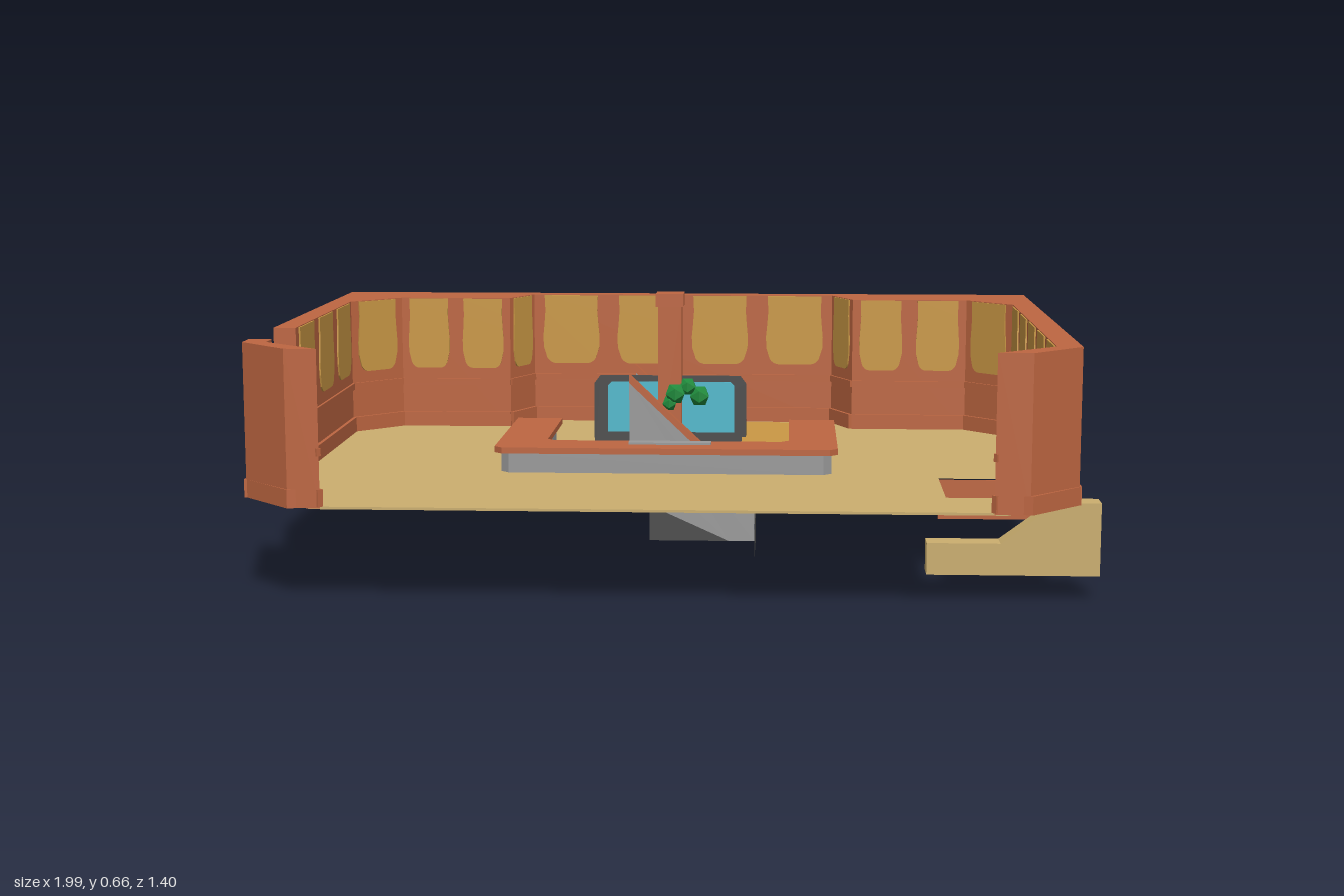
import * as THREE from 'three';

const mat = (name, color, side = THREE.FrontSide) => {
  const m = new THREE.MeshStandardMaterial({ color, side });
  m.name = name;
  return m;
};

export function createModel() {
  const root = new THREE.Group();
  root.name = 'saloonRoom';
  const clay = mat('clay brown', 0xbd6641);
  const sand = mat('sand floor', 0xcbae6f);
  const gold = mat('gold panel', 0xca9845);
  const grey = mat('light grey', 0x9a9a9a);
  const dark = mat('dark grey', 0x4c4c4c, THREE.DoubleSide);
  const blue = mat('screen blue', 0x52b9cd);
  const green = mat('leaf green', 0x1f8a3c);

  const add = (name, geo, m, parent = root) => {
    const mesh = new THREE.Mesh(geo, m);
    mesh.name = name;
    parent.add(mesh);
    return mesh;
  };
  // box given by its limits
  const box = (name, m, x0, x1, y0, y1, z0, z1, parent) => {
    const b = add(name, new THREE.BoxGeometry(x1 - x0, y1 - y0, z1 - z0), m, parent);
    b.position.set((x0 + x1) / 2, (y0 + y1) / 2, (z0 + z1) / 2);
    return b;
  };
  // outline in x,z raised from y0 to y1
  const toShape = (pts, s = 1) => new THREE.Shape(pts.map(([a, b]) => new THREE.Vector2(a, s * b)));
  const slab = (name, m, pts, y0, y1, holes = []) => {
    const shape = toShape(pts, -1);
    holes.forEach(h => shape.holes.push(toShape(h, -1)));
    const g = new THREE.ExtrudeGeometry(shape, { depth: y1 - y0, bevelEnabled: false });
    g.rotateX(-Math.PI / 2).translate(0, y0, 0);
    return add(name, g, m);
  };
  // outline in x,y running from z0 to z1
  const plate = (name, m, pts, z0, z1) => {
    const g = new THREE.ExtrudeGeometry(toShape(pts), { depth: z1 - z0, bevelEnabled: false });
    return add(name, g.translate(0, 0, z0), m);
  };

  const FLOOR = 0.235, TOP = 0.597;

  // floor with a stair opening
  slab('floor', sand, [[-0.95, -0.66], [0.91, -0.66], [0.91, 0.56], [0.77, 0.69], [-0.81, 0.69], [-0.95, 0.56]],
    0.229, FLOOR, [[[0.645, 0.26], [0.885, 0.26], [0.885, 0.51], [0.645, 0.51]]]);

  // room walls with a rear bay, plus the post beyond the doorway
  const inner = [[-0.93, 0.265], [-0.93, -0.405], [-0.81, -0.525], [-0.505, -0.525], [-0.45, -0.645],
    [0.4, -0.645], [0.455, -0.525], [0.77, -0.525], [0.885, -0.405], [0.885, 0.565], [0.74, 0.695]];
  const wall = [...inner, [0.82, 0.695], [0.945, 0.57], [0.945, -0.695], [-0.985, -0.695], [-0.985, 0.265]];
  const post = [[-0.93, 0.51], [-0.93, 0.565], [-0.785, 0.695], [-0.86, 0.695], [-0.985, 0.57], [-0.985, 0.51]];
  slab('walls', clay, wall, 0.232, TOP);
  slab('doorPost', clay, post, 0.232, TOP);

  // outer plinth and door sill
  box('backPlinth', clay, -0.99, 0.95, 0.232, 0.275, -0.7, -0.69);
  box('leftPlinth', clay, 0.94, 0.95, 0.232, 0.275, -0.7, 0.572);
  box('rightPlinth', clay, -0.99, -0.98, 0.232, 0.275, -0.7, 0.572);
  box('doorSill', clay, -0.985, -0.935, 0.232, 0.272, 0.265, 0.51);
  for (const s of [-1, 1]) {
    const p = [[0.965, 0.57], [0.84, 0.7], [0.82, 0.695], [0.955, 0.56]].map(([x, z]) => [s * x + (s > 0 ? -0.015 : -0.02), z]);
    slab('frontPlinth', clay, p, 0.232, 0.275);
  }

  // mouldings and arched panels along the inside of the walls
  const panelShape = w => {
    const h = 0.195, s = new THREE.Shape();
    s.moveTo(-w * 0.46, h);
    s.bezierCurveTo(-w * 0.4, h * 0.6, -w * 0.58, h * 0.35, -w * 0.42, h * 0.08);
    s.quadraticCurveTo(-w * 0.36, 0, -w * 0.25, 0);
    s.lineTo(w * 0.25, 0);
    s.quadraticCurveTo(w * 0.36, 0, w * 0.42, h * 0.08);
    s.bezierCurveTo(w * 0.58, h * 0.35, w * 0.4, h * 0.6, w * 0.46, h);
    return s;
  };
  const dressWall = ([x0, z0], [x1, z1]) => {
    const dx = x1 - x0, dz = z1 - z0, len = Math.hypot(dx, dz);
    const g = new THREE.Group();
    g.name = 'wallTrim';
    g.position.set((x0 + x1) / 2, 0, (z0 + z1) / 2);
    g.rotation.y = Math.atan2(-dz, dx);
    root.add(g);
    box('skirting', clay, -len / 2, len / 2, FLOOR, 0.275, -0.005, 0.009, g);
    box('chairRail', clay, -len / 2, len / 2, 0.352, 0.37, -0.005, 0.006, g);
    const n = Math.max(1, Math.round(len / 0.2)), step = len / n;
    for (let i = 0; i < n; i++) {
      const geo = new THREE.ExtrudeGeometry(panelShape(step * 0.78), { depth: 0.004, bevelEnabled: false, curveSegments: 5 });
      add('wallPanel', geo, gold, g).position.set(-len / 2 + step * (i + 0.5), 0.4, 0);
    }
  };
  for (let i = 0; i < inner.length - 1; i++) dressWall(inner[i], inner[i + 1]);
  dressWall(post[2], post[1]);

  // U-shaped counter: grey base, brown top, gold flap
  const counter = d => [[-0.45 + d, -0.25 + d], [-0.33 - d, -0.25 + d], [-0.33 - d, 0.1 + d], [-0.31 - d, 0.12 + d],
    [0.26 + d, 0.12 + d], [0.28 + d, 0.1 + d], [0.28 + d, -0.25 + d], [0.4 - d, -0.25 + d],
    [0.4 - d, 0.22 - d], [0.38 - d, 0.24 - d], [-0.43 + d, 0.24 - d], [-0.45 + d, 0.22 - d]];
  slab('counterBase', grey, counter(0.015), FLOOR, 0.285);
  slab('counterTop', clay, counter(0), 0.285, 0.3);
  box('counterFlap', gold, 0.16, 0.28, 0.283, 0.293, -0.25, 0.12);

  // central stairs running down through the floor toward the left
  const stairs = new THREE.Group();
  stairs.name = 'stairs';
  root.add(stairs);
  const sheet = (name, w, x, y, flat) => {
    const g = new THREE.PlaneGeometry(w, 0.195);
    g.rotateX(-Math.PI / 2);
    if (!flat) g.rotateZ(-Math.PI / 2);
    add(name, g, dark, stairs).position.set(x, y, 0.0225);
  };
  for (let i = 0, x = 0.195, y = 0; i < 5; i++) {
    const rise = i ? 0.047 : 0.089, run = i < 4 ? 0.073 : 0.085;
    sheet('riser', rise, x, y + rise / 2, false);
    y += rise;
    sheet('tread', run, x - run / 2, y, true);
    x -= run;
  }
  // stair side panels with sloping handrails
  for (const [z, r0, r1] of [[0.141, 0.12, 0.141], [-0.097, -0.093, -0.075]]) {
    plate('stairSide', grey, [[-0.12, 0.455], [-0.12, 0.28], [-0.07, 0.23], [-0.07, 0.14], [0.13, 0.05], [0.195, 0.05], [0.195, 0.155]], z, z + 0.004);
    plate('stairSideFoot', dark, [[-0.07, 0.14], [-0.07, 0.05], [0.13, 0.05]], z, z + 0.004);
    plate('handrail', clay, [[-0.12, 0.47], [-0.12, 0.45], [0.195, 0.15], [0.195, 0.17]], r0, r1 + 0.006);
  }
  box('stairFrontBlock', grey, -0.12, 0.085, 0.205, 0.305, 0.147, 0.18);

  // upright display board with a blue face
  plate('displayBoard', dark, [[-0.22, FLOOR], [0.17, FLOOR], [0.17, 0.43], [0.155, 0.45], [-0.205, 0.45], [-0.22, 0.43]], -0.006, 0.004);
  plate('displayFace', blue, [[-0.185, 0.305], [0.14, 0.305], [0.14, 0.425], [0.13, 0.435], [-0.175, 0.435], [-0.185, 0.425]], 0.004, 0.008);

  // half barrel behind the board with an arrow mark
  const barrel = add('rearBarrel', new THREE.CylinderGeometry(0.11, 0.11, 0.075, 20, 1, false, 0, Math.PI), grey);
  barrel.rotation.set(Math.PI / 2, 0, 0);
  barrel.rotation.order = 'ZXY';
  barrel.rotation.z = Math.PI / 2;
  barrel.position.set(-0.02, 0.24, -0.14);
  slab('arrowMark', gold, [[-0.02, -0.168], [0.006, -0.14], [-0.01, -0.14], [-0.01, -0.115], [-0.03, -0.115], [-0.03, -0.14], [-0.046, -0.14]], 0.346, 0.353);

  // chimney post with a cap
  box('chimneyPost', clay, -0.055, 0.005, FLOOR, 0.63, -0.028, 0.028);
  box('chimneyCap', clay, -0.06, 0.01, 0.63, 0.663, -0.035, 0.035);

  // small plant around the post
  for (const [x, y, z, r] of [[-0.01, 0.41, 0.045, 0.028], [0.02, 0.425, 0.02, 0.024], [0.05, 0.4, 0.012, 0.028], [0.08, 0.405, -0.01, 0.02], [-0.025, 0.385, 0.045, 0.02]])
    add('plantLeaves', new THREE.IcosahedronGeometry(r, 0), green).position.set(x, y, z);

  // stair side and back board below the floor opening
  plate('hatchSide', sand, [[0.6, 0.06], [1, 0.06], [1, 0.232], [0.9, 0.232], [0.77, 0.135], [0.6, 0.135]], 0.49, 0.548);
  box('hatchBack', clay, 0.645, 0.885, 0.135, 0.232, 0.257, 0.26);
  return root;
}
